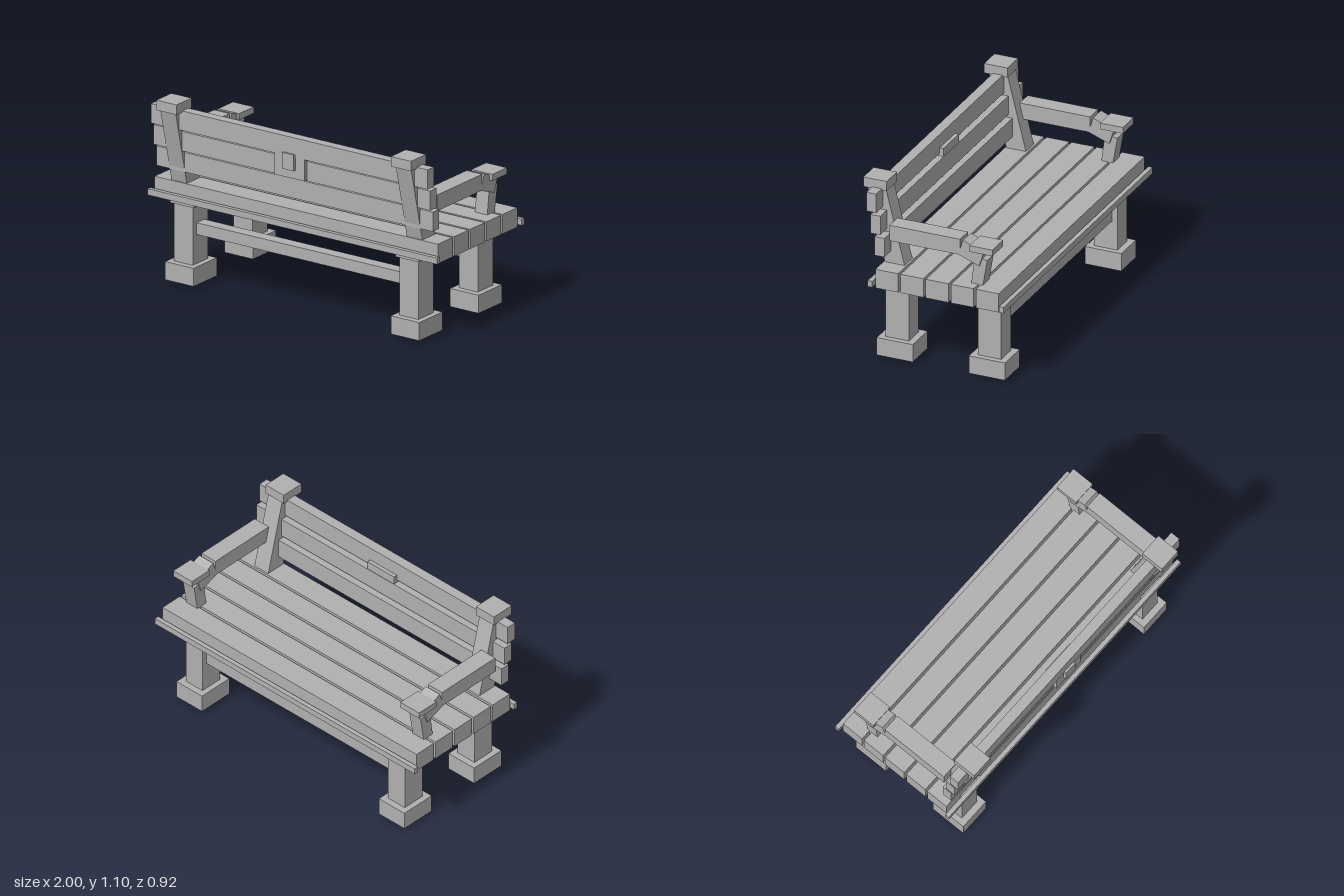
import * as THREE from 'three';

export function createModel() {
  const bench = new THREE.Group();
  bench.name = 'bench';
  const grey = new THREE.MeshStandardMaterial({ color: 0xb0b0b0 });
  grey.name = 'plainGrey';

  const add = (name, geometry) => {
    const mesh = new THREE.Mesh(geometry, grey);
    mesh.name = name;
    bench.add(mesh);
    return mesh;
  };

  // Box given by its limits on each axis
  const block = (name, [x0, x1], [y0, y1], [z0, z1]) =>
    add(name, new THREE.BoxGeometry(x1 - x0, y1 - y0, z1 - z0))
      .position.set((x0 + x1) / 2, (y0 + y1) / 2, (z0 + z1) / 2);

  // Side outline of [z, y] points, extruded across x0..x1
  const sidePanel = (name, [x0, x1], points) => {
    const shape = new THREE.Shape(points.map(([z, y]) => new THREE.Vector2(-z, y)));
    const geometry = new THREE.ExtrudeGeometry(shape, { depth: x1 - x0, bevelEnabled: false });
    geometry.rotateY(Math.PI / 2);
    geometry.translate(x0, 0, 0);
    add(name, geometry);
  };

  // Seat planks and the thin rails along both long edges
  for (let i = 0; i < 5; i++) {
    const z = 0.27 - i * 0.155;
    block('seatPlank', [-0.978, 0.978], [0.482, 0.598], [z - 0.07, z + 0.07]);
  }
  block('rearEdgeRail', [-1, 1], [0.493, 0.53], [0.35, 0.377]);
  block('frontEdgeRail', [-1, 1], [0.493, 0.53], [-0.459, -0.432]);

  // Backrest planks, each set further back than the one below
  for (let i = 0; i < 3; i++) {
    const y = 0.73 + i * 0.1325, z = 0.325 + i * 0.0255;
    block('backPlank', [-0.955, 0.955], [y - 0.058, y + 0.058], [z - 0.03, z + 0.03]);
  }
  block('backCentreBlock', [-0.103, 0.103], [0.808, 0.97], [0.323, 0.403]);
  block('backCentrePlate', [-0.04, 0.04], [0.86, 0.956], [0.39, 0.42]);

  // Stretchers between the legs
  block('rearStretcher', [-0.72, 0.72], [0.297, 0.366], [0.23, 0.305]);
  block('frontStretcher', [-0.72, 0.72], [0.297, 0.388], [-0.34, -0.26]);

  for (const side of [-1, 1]) {
    // Limits mirrored to either side
    const span = (a, b) => (side > 0 ? [a, b] : [-b, -a]);

    // Legs with feet and bearing plates
    for (const z of [0.267, -0.301]) {
      block('leg', span(0.714, 0.843), [0, 0.475], [z - 0.072, z + 0.072]);
      block('foot', span(0.681, 0.877), [0.015, 0.123], [z - 0.111, z + 0.111]);
      block('legPlate', span(0.696, 0.86), [0.47, 0.52], [z - 0.087, z + 0.087]);
    }

    // Leaning back post and its cap
    sidePanel('backPost', span(0.76, 0.866),
      [[0.197, 0.54], [0.326, 1.05], [0.441, 1.05], [0.319, 0.54]]);
    block('postCap', span(0.74, 0.879), [1.045, 1.104], [0.316, 0.46]);

    // Armrest: level beam, drooping end, top cap and support
    block('armBeam', span(0.818, 0.926), [0.765, 0.861], [-0.157, 0.277]);
    sidePanel('armDroop', span(0.818, 0.926),
      [[-0.175, 0.858], [-0.304, 0.806], [-0.274, 0.718], [-0.146, 0.765]]);
    block('armCap', span(0.802, 0.946), [0.806, 0.844], [-0.366, -0.225]);
    sidePanel('armSupport', span(0.829, 0.914),
      [[-0.243, 0.767], [-0.32, 0.757], [-0.283, 0.54], [-0.214, 0.54]]);
  }
  // Outlines run either way round, so normals come straight from the extrusion
  return bench;
}
